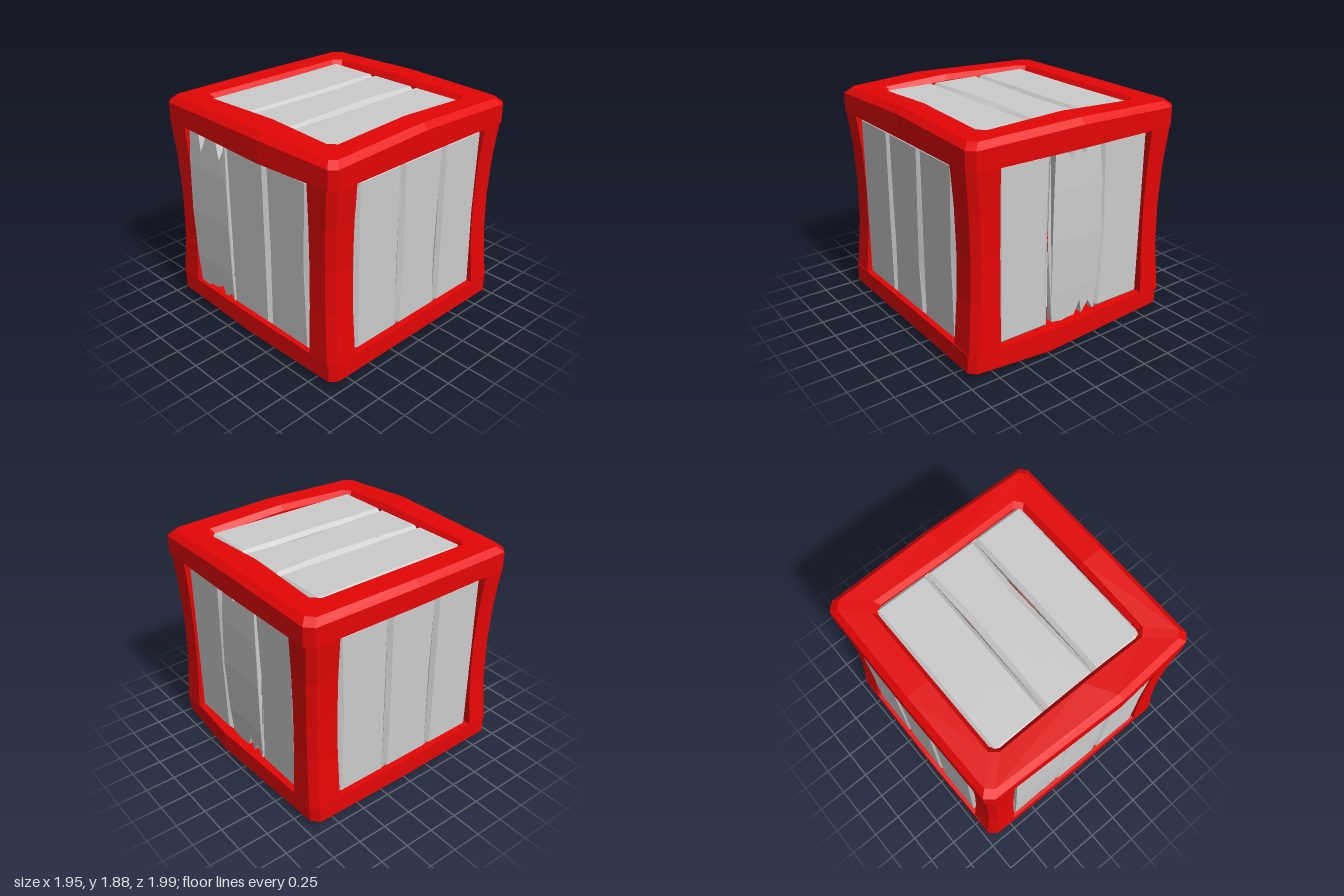
import * as THREE from 'three';

const CY = 0.94; // height of the crate's centre
const red = new THREE.MeshStandardMaterial({ color: 0xe60505, flatShading: true });
const grey = new THREE.MeshStandardMaterial({ color: 0xcccccc, flatShading: true });

// Skin a row of equal-length point loops; closed rows join end to start, open ones get caps
function loft(sections, closed = false) {
  const n = sections[0].length, m = sections.length, tris = [];
  for (let i = 0; i < (closed ? m : m - 1); i++) {
    const a = sections[i], b = sections[(i + 1) % m];
    for (let j = 0; j < n; j++) {
      const k = (j + 1) % n;
      tris.push([a[j], a[k], b[k]], [a[j], b[k], b[j]]);
    }
  }
  if (!closed) {
    const a = sections[0], b = sections[m - 1];
    for (let j = 1; j < n - 1; j++) tris.push([a[0], a[j + 1], a[j]], [b[0], b[j], b[j + 1]]);
  }
  // a negative enclosed volume means the faces point inwards
  let volume = 0;
  for (const [p, q, r] of tris) {
    volume += p[0] * (q[1] * r[2] - q[2] * r[1]) + p[1] * (q[2] * r[0] - q[0] * r[2]) + p[2] * (q[0] * r[1] - q[1] * r[0]);
  }
  if (volume < 0) tris.forEach(t => t.reverse());
  const geo = new THREE.BufferGeometry();
  geo.setAttribute('position', new THREE.Float32BufferAttribute(tris.flat(2), 3));
  geo.computeVertexNormals();
  return geo;
}

function part(name, geo, material) {
  const mesh = new THREE.Mesh(geo, material);
  mesh.name = name;
  return mesh;
}

// Chamfered square rim with bulging bars (centred on y = 0);
// back is the depth of its rear bar, side the height of its +x bar
function rim(name, back, side) {
  // outer x, outer z, inner x, inner z, top height
  const stations = [
    [0.25, 0.995, 0.1, 0.69, 0.935], [0.92, 0.95, 0.64, 0.69, 0.91],
    [0.97, 0.9, 0.7, 0.64, 0.91], [0.965, 0, 0.7, 0, side],
    [0.97, 0.06 - back, 0.7, -0.66, 0.91], [0.92, -back, 0.65, -0.72, 0.91],
    [0, -back - 0.01, 0, -0.7, 0.93], [-0.9, -back, -0.64, -0.72, 0.91],
    [-0.965, 0.06 - back, -0.7, -0.66, 0.91], [-0.975, 0, -0.7, 0, 0.91],
    [-0.965, 0.9, -0.7, 0.64, 0.91], [-0.9, 0.955, -0.64, 0.69, 0.91],
  ];
  return part(name, loft(stations.map(([ox, oz, ix, iz, y]) => [
    [ox, 0.71, oz], [ox, y - 0.045, oz], [ox * 0.95, y, oz * 0.95],
    [ix * 1.05, y, iz * 1.05], [ix, y - 0.045, iz], [ix, 0.71, iz],
  ]), true), red);
}

// Corner post, flush with the rims at its ends and slightly waisted
function post(name, sx, sz) {
  return part(name, loft([-0.73, -0.3, 0.05, 0.4, 0.73].map(y => {
    const pinch = 1 - (y / 0.73) ** 2;
    const x = 0.965 - 0.045 * pinch, z = (sz > 0 ? 0.952 : 0.967) - 0.025 * pinch, i = 0.715 - 0.01 * pinch;
    return [[x, z - 0.055], [x - 0.055, z], [i, z], [i, i], [x, i]].map(([px, pz]) => [px * sx, y, pz * sz]);
  })), red);
}

// Flat plank with bevelled outer edges; bendL and bendR shave its long edges around peak
function plank(u0, u1, bendL, bendR, depth, peak = 0) {
  const L = 0.713, B = 0.03, T = 0.07;
  return loft([-L, -L + B, -0.35 + peak, peak, 0.35 + peak, L - B, L].map((v, i) => {
    const f = Math.max(0, 1 - Math.abs(v - peak) / (v > peak ? L - peak : L + peak));
    const a = u0 + bendL * f * 0.4, b = u1 + bendR * f * 0.4;
    const edge = depth - B, face = i % 6 ? depth : edge;
    return [[a, depth - T], [b, depth - T], [b, edge], [u1 - B + bendR * f, face], [u0 + B + bendL * f, face], [a, edge]]
      .map(([u, w]) => [u, v, w]);
  }));
}

// Splintered plank: stations across its width give the ragged lower and upper ends
function brokenPlank(stations, depth, bulge, sway) {
  const T = 0.06;
  return loft(stations.map(([u, lo, hi]) => {
    const vs = [lo, -0.45, 0, 0.4, hi];
    const side = t => vs.map(v => {
      const f = 1 - (v / 0.72) ** 2;
      return [u + sway * Math.sign(u - stations[0][0] - 0.2) * f, v, depth + bulge * f - t];
    });
    return [...side(0), ...side(T).reverse()];
  }));
}

// One crate face; local x runs across, local z points outwards
function panel(name, rx, ry, geometries) {
  const g = new THREE.Group();
  g.name = name;
  geometries.forEach((geo, i) => g.add(part(name + 'Plank' + (i + 1), geo, grey)));
  g.rotation.set(rx, ry, 0);
  return g;
}

export function createModel() {
  const crate = new THREE.Group();
  crate.name = 'crate';

  // Frame
  const bottom = rim('bottomRim', 0.95, 0.915);
  bottom.rotation.x = Math.PI;
  crate.add(rim('topRim', 0.98, 0.94), bottom);
  for (const sx of [-1, 1]) for (const sz of [-1, 1]) {
    crate.add(post((sz > 0 ? 'front' : 'back') + (sx > 0 ? 'Left' : 'Right') + 'Post', sx, sz));
  }

  // Front: first plank is splintered at both ends
  crate.add(panel('front', 0, 0, [
    brokenPlank([
      [-0.68, -0.7, 0.71], [-0.57, -0.71, 0.71], [-0.53, -0.68, 0.54], [-0.46, -0.68, 0.71], [-0.37, -0.63, 0.71],
      [-0.35, -0.7, 0.7], [-0.31, -0.7, 0.54], [-0.26, -0.64, 0.62], [-0.23, -0.71, 0.71],
    ], 0.925, 0.025, 0.015),
    plank(-0.22, 0.245, 0, 0, 0.935),
    plank(0.245, 0.705, 0.01, -0.025, 0.935),
  ]));

  // Back: the middle plank is splintered and loose
  crate.add(panel('back', 0, Math.PI, [
    plank(-0.71, -0.24, 0, -0.02, 0.93),
    brokenPlank([
      [-0.2, -0.69, 0.71], [-0.1, -0.71, 0.7], [-0.04, -0.7, 0.62], [0.02, -0.7, 0.71],
      [0.06, -0.58, 0.64], [0.1, -0.71, 0.7], [0.15, -0.61, 0.71], [0.22, -0.71, 0.7],
    ], 0.92, 0.025, 0.03),
    plank(0.235, 0.71, 0.03, 0, 0.93),
  ]));

  // Sides
  crate.add(panel('left', 0, Math.PI / 2, [
    plank(-0.69, -0.222, 0, -0.005, 0.94),
    plank(-0.222, 0.243, 0.015, -0.03, 0.94, -0.25),
    plank(0.243, 0.71, 0, -0.02, 0.94),
  ]));
  crate.add(panel('right', 0, -Math.PI / 2, [
    plank(-0.71, -0.243, 0.02, 0, 0.94),
    plank(-0.243, 0.222, 0.01, -0.015, 0.94),
    plank(0.222, 0.69, 0, 0, 0.94),
  ]));

  // Top and bottom
  for (const [name, rx, shave] of [['top', -Math.PI / 2, -0.04], ['bottom', Math.PI / 2, -0.01]]) {
    crate.add(panel(name, rx, 0, [
      plank(-0.71, -0.222, 0.01, 0, 0.885),
      plank(-0.222, 0.24, 0.03, shave, 0.885, 0.2),
      plank(0.24, 0.71, 0.01, 0, 0.885),
    ]));
  }

  crate.children.forEach(c => { c.position.y = CY; });
  const model = new THREE.Group();
  model.name = 'woodenCrate';
  model.add(crate);
  return model;
}
